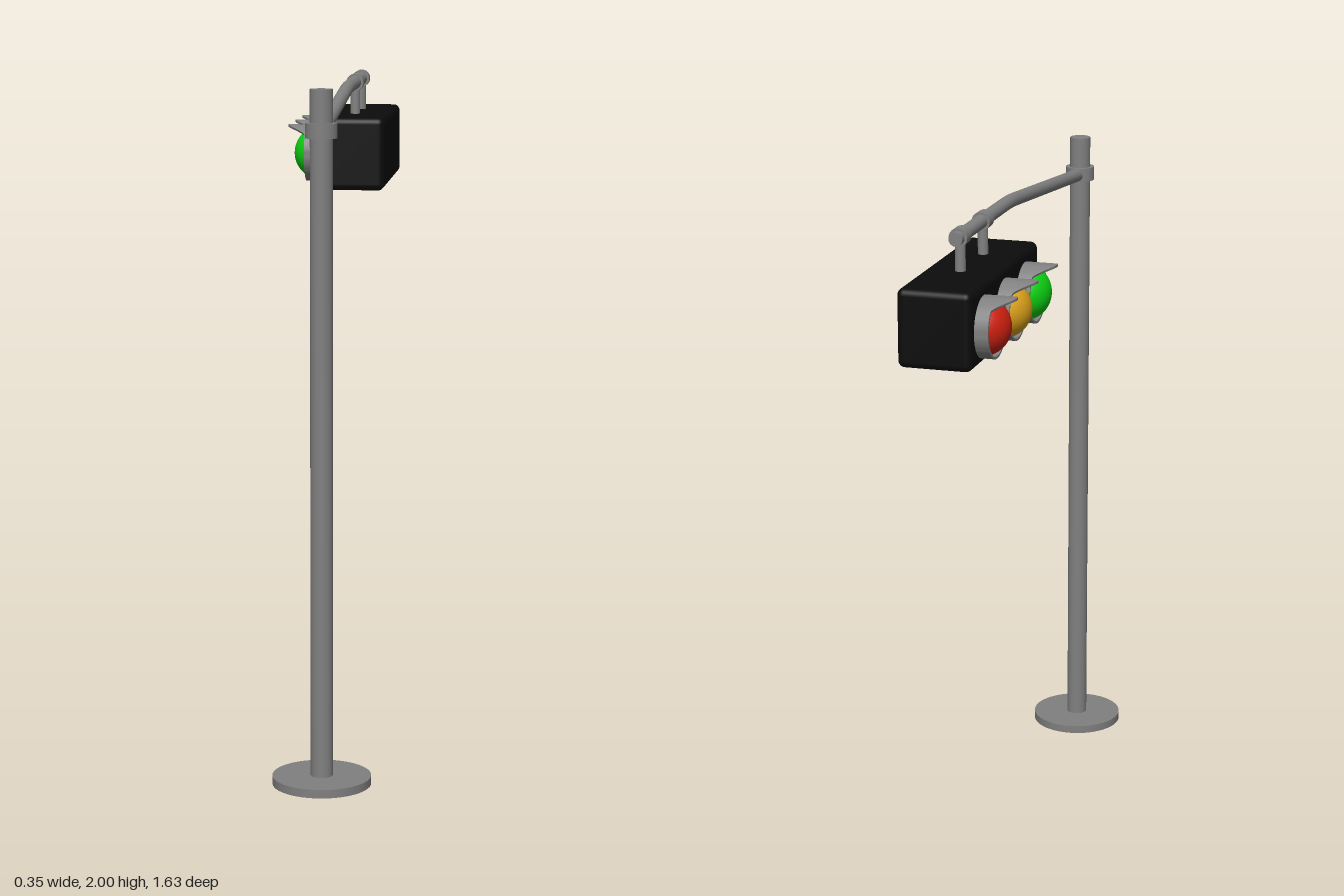
import * as THREE from 'three';
import { toCreasedNormals } from 'three/addons/utils/BufferGeometryUtils.js';
import { RoundedBoxGeometry } from 'three/addons/geometries/RoundedBoxGeometry.js';

const paint = (name, color) => {
  const m = new THREE.MeshStandardMaterial({ color });
  m.name = name;
  return m;
};

const POLE_X = 0.028, POLE_Z = 0.675, ARM_Y = 1.957, LAMP_Y = 1.74, FACE_X = -0.079;

// Short round hood whose upper rim sweeps forward to a peak; opens towards -x
function visorGeometry() {
  const outer = 0.088, inner = 0.081, base = 0.04, peak = 0.058;
  const profile = [[outer, -0.01], [outer, base], [inner, base], [inner, -0.01]]
    .map(([r, y]) => new THREE.Vector2(r, y));
  const g = new THREE.LatheGeometry(profile, 64);
  const p = g.attributes.position;
  for (let i = 0; i < p.count; i++) {
    if (p.getY(i) < base - 0.001) continue;
    const up = p.getX(i) / Math.hypot(p.getX(i), p.getZ(i));
    const t = Math.max(0, (up - 0.68) / 0.32);
    p.setY(i, base + peak * Math.pow(t, 1.4));
  }
  g.rotateZ(Math.PI / 2);
  return toCreasedNormals(g, 0.7);
}

// Domed lens bulging towards -x
function lensGeometry() {
  const g = new THREE.SphereGeometry(0.081, 40, 14, 0, Math.PI * 2, 0, Math.PI / 2);
  g.scale(1, 0.95, 1);
  g.rotateZ(Math.PI / 2);
  return g;
}

export function createModel() {
  const model = new THREE.Group();
  model.name = 'trafficLight';
  const metal = paint('greyMetal', 0x808080);
  const black = paint('blackHousing', 0x0c0c0c);

  const add = (name, geometry, material, x, y, z) => {
    const mesh = new THREE.Mesh(geometry, material);
    mesh.name = name;
    mesh.position.set(x, y, z);
    model.add(mesh);
    return mesh;
  };
  const rod = (name, r, length, x, y, z, alongZ = false) => {
    const mesh = add(name, new THREE.CylinderGeometry(r, r, length, 40), metal, x, y, z);
    if (alongZ) mesh.rotation.x = Math.PI / 2;
  };

  // Base, pole and collar
  rod('basePlate', 0.143, 0.025, POLE_X, 0.0125, POLE_Z);
  rod('pole', 0.032, 1.99, POLE_X, 1.005, POLE_Z);
  rod('collar', 0.045, 0.042, POLE_X, 1.885, POLE_Z);

  // Arm: sloping length with a soft bend, then a straight level end
  const v = (y, z) => new THREE.Vector3(0, y, z);
  const path = new THREE.CurvePath();
  path.add(new THREE.LineCurve3(v(1.88, POLE_Z), v(1.951, -0.04)));
  path.add(new THREE.QuadraticBezierCurve3(v(1.951, -0.04), v(ARM_Y, -0.1), v(ARM_Y, -0.16)));
  add('arm', new THREE.TubeGeometry(path, 60, 0.02, 24), metal, POLE_X, 0, 0);
  rod('armEnd', 0.02, 0.454, POLE_X, ARM_Y, -0.387, true);

  // Clamps and hangers carrying the housing
  for (const z of [-0.36, -0.57]) {
    rod('clamp', 0.027, 0.042, POLE_X, ARM_Y, z, true);
    rod('hanger', 0.015, 0.1, POLE_X, 1.895, z);
  }

  // Housing
  add('housing', new RoundedBoxGeometry(0.214, 0.224, 0.655, 4, 0.02), black, 0.028, 1.747, -0.488);

  // Lamps, each a hood over a coloured lens
  const visor = visorGeometry(), lens = lensGeometry();
  const lamps = [
    ['red', 0xcc2010, -0.698],
    ['amber', 0xd9a01a, -0.5],
    ['green', 0x0cd012, -0.302],
  ];
  for (const [name, color, z] of lamps) {
    add(name + 'Visor', visor, metal, FACE_X, LAMP_Y, z);
    add(name + 'Lens', lens, paint(name + 'Glass', color), FACE_X - 0.001, LAMP_Y, z);
  }
  return model;
}
